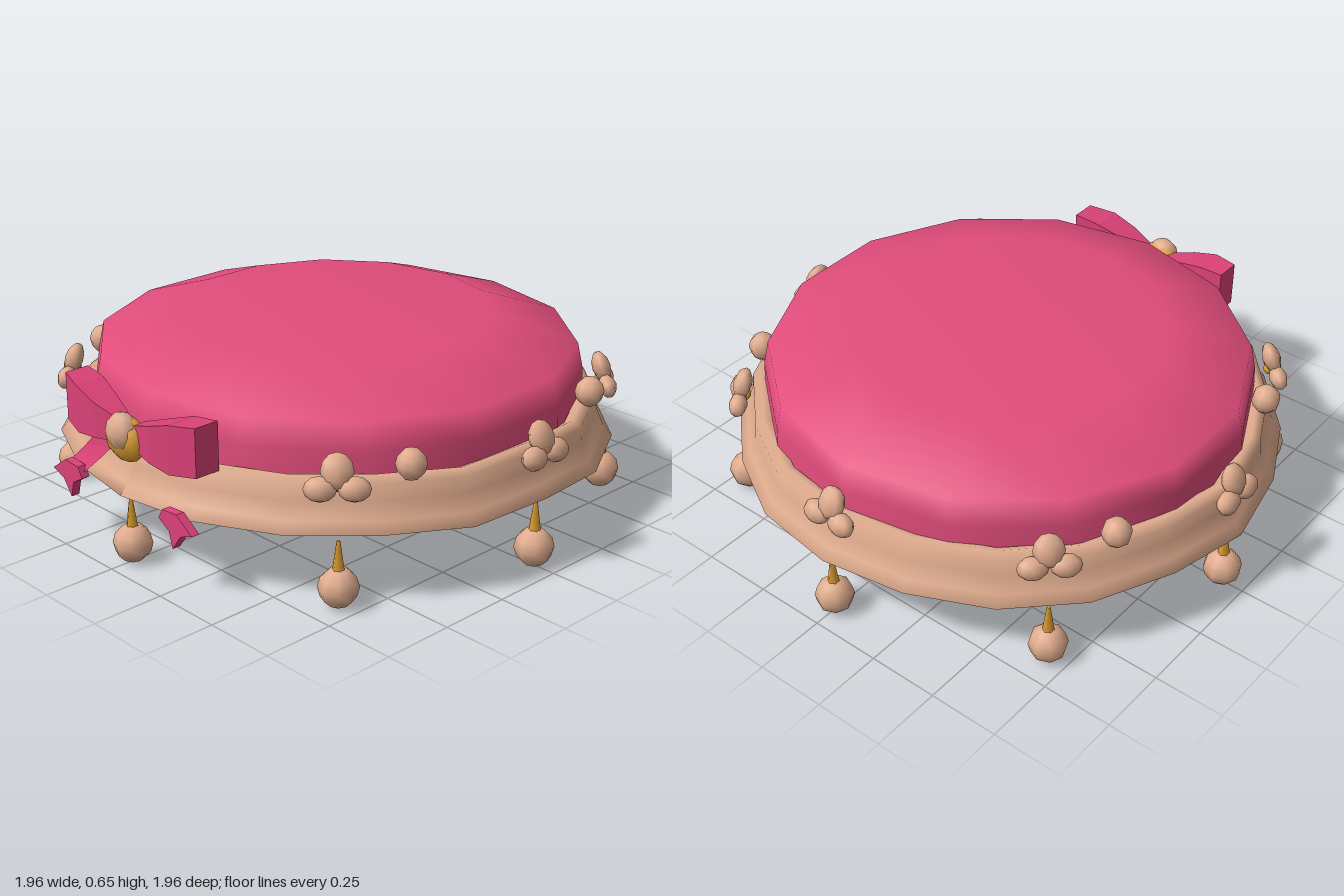
import * as THREE from 'three';

const mat = (name, color, extra = {}) => {
  const m = new THREE.MeshStandardMaterial({ color, ...extra });
  m.name = name;
  return m;
};

export function createModel() {
  const root = new THREE.Group();
  root.name = 'hat';
  const pink = mat('rose fabric', 0xe04c7b, { side: THREE.DoubleSide });
  const pinkFlat = mat('rose ribbon', 0xdb4277, { side: THREE.DoubleSide, flatShading: true });
  const tan = mat('tan trim', 0xdfab8d, { side: THREE.DoubleSide });
  const gold = mat('gold', 0xdb9c30);

  const add = (parent, name, geo, material, x = 0, y = 0, z = 0) => {
    const m = new THREE.Mesh(geo, material);
    m.name = name;
    m.position.set(x, y, z);
    parent.add(m);
    return m;
  };
  const lathe = (pts, n) => new THREE.LatheGeometry(pts.map(p => new THREE.Vector2(...p)), n);

  // Shallow crown, open underneath
  add(root, 'crown', lathe([[0.86, 0.37], [0.855, 0.48], [0.835, 0.57], [0.56, 0.66], [0, 0.66]], 14), pink)
    .scale.z = 0.985;

  // Flared, slightly ruffled brim
  const brim = lathe([[0.845, 0.4], [0.875, 0.415], [0.905, 0.395], [0.91, 0.34], [0.935, 0.285],
    [0.965, 0.25], [0.94, 0.24], [0.9, 0.29], [0.86, 0.36], [0.845, 0.4]], 20);
  const p = brim.attributes.position;
  for (let i = 0; i < p.count; i++) {
    const a = Math.atan2(p.getX(i), p.getZ(i));
    const k = 1 + 0.008 * Math.sin(7 * a);
    p.setXYZ(i, p.getX(i) * k, p.getY(i) + 0.006 * Math.sin(9 * a), p.getZ(i) * k * 0.985);
  }
  brim.computeVertexNormals();
  add(root, 'brim', brim, tan);

  // Flat lining piece across the back of the opening
  const lining = new THREE.Shape();
  for (let i = 0; i <= 8; i++) {
    const a = Math.PI * (0.25 + i / 16);
    lining[i ? 'lineTo' : 'moveTo'](0.86 * Math.cos(a), 0.86 * Math.sin(a));
  }
  const liningGeo = new THREE.ShapeGeometry(lining);
  liningGeo.rotateX(-Math.PI / 2);
  add(root, 'backLining', liningGeo, tan, 0, 0.36, 0);

  // Eight hanging tassels
  const ball = new THREE.SphereGeometry(0.066, 8, 6);
  const cap = new THREE.CylinderGeometry(0.006, 0.02, 0.1, 6);
  for (let i = 0; i < 8; i++) {
    const a = i * Math.PI / 4;
    const t = new THREE.Group();
    t.name = 'tassel';
    t.position.set(Math.sin(a) * (i % 2 ? 0.96 : 0.915), 0, Math.cos(a) * 0.91);
    add(t, 'tasselBall', ball, tan, 0, 0.073, 0);
    add(t, 'tasselCap', cap, gold, 0, 0.18, 0);
    root.add(t);
  }

  // Flowers: an upright petal, two side petals and a small heart, facing outward
  const petal = new THREE.SphereGeometry(1, 8, 6);
  const flower = (x, z) => {
    const g = new THREE.Group();
    g.name = 'flower';
    g.position.set(x, 0.425, z);
    g.rotation.order = 'YXZ';
    g.rotation.set(-0.35, Math.atan2(x, z), 0);
    for (const [px, py, sx, sy] of [[0, 0.032, 0.052, 0.058], [-0.052, -0.022, 0.052, 0.04], [0.052, -0.022, 0.052, 0.04]])
      add(g, 'petal', petal, tan, px, py, 0).scale.set(sx, sy, 0.032);
    add(g, 'flowerHeart', petal, gold, 0, -0.01, -0.02).scale.set(0.022, 0.022, 0.02);
    root.add(g);
  };
  for (const s of [-1, 1]) {
    flower(s * 0.935, 0);
    flower(s * 0.675, 0.645);
    flower(s * 0.675, -0.64);
    // Small buds between the flowers
    for (const z of [-0.43, 0.43])
      add(root, 'bud', petal, tan, s * 0.775, 0.45, z).scale.set(0.05, 0.052, 0.05);
  }
  flower(0, -0.9);

  // Bow: loops that widen outward from the knot
  for (const s of [-1, 1]) {
    const loop = new THREE.BoxGeometry(1, 1, 1, 3, 1, 1);
    const q = loop.attributes.position;
    for (let i = 0; i < q.count; i++) {
      const t = q.getX(i) + 0.5;
      const h = 0.08 + 0.085 * Math.min(1, t * 1.5);
      const d = 0.05 + 0.06 * Math.sin(t * 2.4);
      q.setXYZ(i, 0.04 + 0.29 * t, 0.455 + 0.03 * t + q.getY(i) * h, 0.895 - 0.035 * t * t + q.getZ(i) * d);
    }
    loop.computeVertexNormals();
    const side = new THREE.Group();
    side.name = s > 0 ? 'leftBowHalf' : 'rightBowHalf';
    side.scale.x = s;
    add(side, 'bowLoop', loop, pinkFlat);

    // Forked tail end peeking out below the brim
    const end = new THREE.Shape([[0.22, 0.28], [0.29, 0.285], [0.36, 0.235], [0.305, 0.215], [0.265, 0.16], [0.25, 0.215], [0.2, 0.245]]
      .map(c => new THREE.Vector2(...c)));
    const endGeo = new THREE.ExtrudeGeometry(end, { depth: 0.03, bevelEnabled: false });
    add(side, 'tailEnd', endGeo, pinkFlat, 0, 0, 0.925);
    root.add(side);
  }

  // Ribbon tail lying across the brim, following its flare
  const tail = new THREE.PlaneGeometry(1, 1, 1, 4);
  const tp = tail.attributes.position;
  for (let i = 0; i < tp.count; i++) {
    const t = 0.5 - tp.getY(i);
    const x = -0.1 - 0.18 * t + tp.getX(i) * 0.12;
    const r = 0.918 + 0.05 * t * t;
    tp.setXYZ(i, x, 0.42 - 0.17 * t, Math.sqrt(r * r - x * x));
  }
  tail.computeVertexNormals();
  add(root, 'ribbonTail', tail, pinkFlat);

  // Knot: gold blossom with a tan heart
  add(root, 'knotBlossom', petal, gold, 0, 0.44, 0.915).scale.set(0.092, 0.078, 0.05);
  add(root, 'knotHeart', petal, tan, 0, 0.465, 0.93).scale.set(0.062, 0.066, 0.05);

  return root;
}
